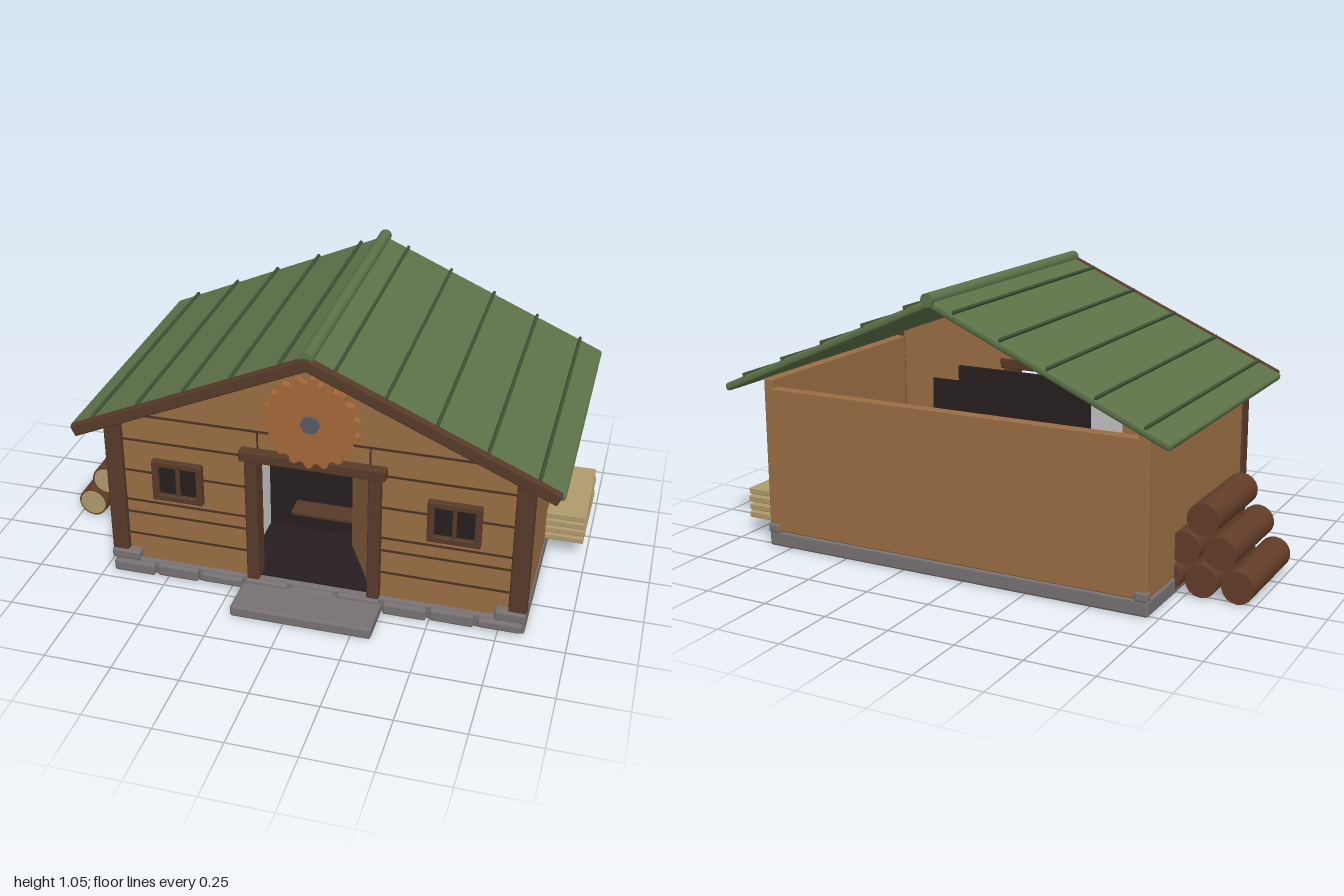
import * as THREE from 'three';
import { RoundedBoxGeometry } from 'three/addons/geometries/RoundedBoxGeometry.js';

const CX = 0.065; // middle line of the cabin
const paint = (c, side = THREE.FrontSide) => {
  const m = new THREE.MeshStandardMaterial({ side });
  m.color.set(c);
  return m;
};
const wood = paint(0x9a6d43), dark = paint(0x573a29), groove = paint(0x4a3223), black = paint(0x261e20);
const green = paint(0x5d7249), rib = paint(0x3f5235), stone = paint(0x777173), tan = paint(0xb09a6c);
const bark = paint(0x643d29), rust = paint(0xa5683a), steel = paint(0x565a66), pale = paint(0xcccccc);

export function createModel() {
  const model = new THREE.Group();
  const add = (name, geo, mat, x = 0, y = 0, z = 0, parent = model) => {
    const m = new THREE.Mesh(geo, mat);
    m.name = name;
    m.position.set(x, y, z);
    parent.add(m);
    return m;
  };
  // box given by its limits, edges slightly rounded when r > 0
  const box = (name, mat, x0, x1, y0, y1, z0, z1, r = 0.006) => {
    const s = [x1 - x0, y1 - y0, z1 - z0];
    const geo = r ? new RoundedBoxGeometry(...s, 2, Math.min(r, Math.min(...s) * 0.45)) : new THREE.BoxGeometry(...s);
    return add(name, geo, mat, (x0 + x1) / 2, (y0 + y1) / 2, (z0 + z1) / 2);
  };

  // Foundation, step and stones
  box('foundation', stone, -0.715, 0.845, 0.005, 0.065, -0.52, 0.44, 0.01);
  box('doorStep', stone, -0.2, 0.325, 0.005, 0.05, 0.44, 0.615, 0.01);
  for (let i = 0; i < 9; i++) {
    const x = -0.712 + i * 0.1735;
    box('frontStone', stone, x, x + 0.162, 0.008 + (i % 3) * 0.006, 0.056 + (i % 2) * 0.008, 0.41, 0.462, 0.01);
  }
  for (const s of [-1, 1]) {
    const x = CX + s * 0.727;
    box('cornerStone', stone, x - 0.056, x + 0.056, 0.065, 0.105, 0.4, 0.46, 0.01);
    box('backCornerStone', stone, CX + s * 0.755 - 0.025, CX + s * 0.755 + 0.025, 0.06, 0.095, -0.527, -0.49, 0.008);
  }

  // Side and back walls, corner posts
  for (const s of [-1, 1]) {
    const x = CX + s * 0.755;
    box('sideWall', wood, x - 0.02, x + 0.02, 0.065, 0.66, -0.52, 0.4);
    const p = CX + s * 0.75;
    box('cornerPost', dark, p - 0.032, p + 0.032, 0.065, 0.68, 0.385, 0.45, 0.008);
  }
  box('backWall', wood, CX - 0.765, CX + 0.765, 0.065, 0.625, -0.52, -0.48);
  box('floor', black, CX - 0.735, CX + 0.735, 0.06, 0.072, -0.48, 0.42, 0);

  // Front wall with gable and door opening
  const front = new THREE.Shape();
  [[-0.735, 0.065], [-0.205, 0.065], [-0.205, 0.57], [0.205, 0.57], [0.205, 0.065], [0.735, 0.065],
    [0.735, 0.682], [0, 0.952], [-0.735, 0.682]].forEach(([x, y], i) => (i ? front.lineTo(x, y) : front.moveTo(x, y)));
  add('frontWall', new THREE.ExtrudeGeometry(front, { depth: 0.04, bevelEnabled: false }), wood, CX, 0, 0.385);

  // Plank joints
  for (const y of [0.17, 0.265, 0.318, 0.445, 0.575]) {
    for (const s of [-1, 1]) {
      const a = CX + s * 0.24, b = CX + s * 0.72;
      box('plankJoint', groove, Math.min(a, b), Math.max(a, b), y - 0.004, y + 0.004, 0.42, 0.428, 0);
    }
  }
  box('gableJoint', groove, CX - 0.72, CX + 0.72, 0.676, 0.684, 0.42, 0.428, 0);
  for (const s of [-1, 1]) box('uprightJoint', groove, CX + s * 0.205 - 0.003, CX + s * 0.205 + 0.003, 0.61, 0.68, 0.42, 0.428, 0);

  // Door frame, open leaf and dim room behind
  for (const s of [-1, 1]) box('doorPost', dark, CX + s * 0.226 - 0.023, CX + s * 0.226 + 0.023, 0.065, 0.575, 0.38, 0.455);
  box('doorLintel', dark, CX - 0.267, CX + 0.267, 0.57, 0.612, 0.38, 0.462);
  const door = new THREE.Group();
  door.name = 'openDoor';
  door.position.set(0.268, 0.315, 0.385);
  door.rotation.y = -1.08;
  model.add(door);
  add('doorLeaf', new RoundedBoxGeometry(0.26, 0.475, 0.018, 2, 0.005), wood, -0.13, 0, 0, door);
  box('roomBack', black, -0.218, 0.348, 0.07, 0.64, 0.07, 0.085, 0);
  box('roomSide', pale, -0.218, -0.208, 0.07, 0.58, 0.085, 0.385, 0);
  box('bench', dark, -0.1, 0.175, 0.178, 0.198, 0.085, 0.17);

  // Windows
  for (const s of [-1, 1]) {
    const x = CX + s * 0.51;
    box('windowPane', black, x - 0.08, x + 0.08, 0.36, 0.495, 0.38, 0.432, 0);
    for (const t of [-1, 1]) {
      box('windowSide', dark, x + t * 0.084 - 0.012, x + t * 0.084 + 0.012, 0.345, 0.51, 0.42, 0.449);
      box('windowRail', dark, x - 0.096, x + 0.096, 0.4275 + t * 0.07 - 0.0125, 0.4275 + t * 0.07 + 0.0125, 0.42, 0.448);
    }
    box('windowMullion', dark, x - 0.008, x + 0.008, 0.365, 0.49, 0.42, 0.443);
  }

  // Roof halves: local x runs down the slope from the ridge
  const angle = Math.atan(0.44), length = 0.89 / Math.cos(angle);
  for (const s of [-1, 1]) {
    const half = new THREE.Group();
    half.name = s < 0 ? 'rightRoofHalf' : 'leftRoofHalf';
    half.position.set(CX, 1.035, 0);
    half.rotation.z = -s * angle;
    model.add(half);
    add('roofPanel', new RoundedBoxGeometry(length, 0.03, 1.11, 2, 0.012), green, s * length / 2, -0.015, -0.055, half);
    for (const o of [0.095, 0.27, 0.445, 0.62, 0.795]) {
      add('roofRib', new RoundedBoxGeometry(0.012, 0.016, 1.108, 2, 0.005), rib, s * o / Math.cos(angle), 0.003, -0.055, half);
    }
    add('gableBoard', new RoundedBoxGeometry(length - 0.015, 0.045, 0.03, 2, 0.006), dark, s * (length - 0.015) / 2, -0.02, 0.505, half);
  }
  const ridge = add('ridgeCap', new THREE.CylinderGeometry(0.024, 0.024, 1.13, 12), green, CX, 1.032, -0.055);
  ridge.rotation.x = Math.PI / 2;

  // Toothed wheel on the gable
  const gear = new THREE.Shape(), teeth = 18;
  for (let i = 0; i < teeth; i++) {
    [[0, 0.157], [0.22, 0.175], [0.5, 0.175], [0.72, 0.157]].forEach(([f, r], k) => {
      const a = ((i + f) / teeth) * Math.PI * 2;
      const x = Math.cos(a) * r, y = Math.sin(a) * r;
      if (i + k) gear.lineTo(x, y); else gear.moveTo(x, y);
    });
  }
  add('gearWheel', new THREE.ExtrudeGeometry(gear, { depth: 0.028, bevelEnabled: false }), rust, CX, 0.76, 0.435);
  const hub = add('gearHub', new THREE.CylinderGeometry(0.033, 0.033, 0.05, 20), steel, CX, 0.76, 0.448);
  hub.rotation.x = Math.PI / 2;

  // Log pile beside the right wall
  for (let row = 0; row < 3; row++) {
    for (let i = 0; i < 3 - row; i++) {
      const log = new THREE.Mesh(new THREE.CylinderGeometry(0.059, 0.059, 0.405, 18), bark);
      log.name = 'log';
      log.position.set(-0.941 + i * 0.132 + row * 0.066, 0.068 + row * 0.112, -0.0725);
      log.rotation.x = Math.PI / 2;
      model.add(log);
      add('logEnd', new THREE.CylinderGeometry(0.052, 0.052, 0.004, 18), tan, 0, 0.203, 0, log);
    }
  }

  // Stacked boards beside the left wall
  for (let i = 0; i < 4; i++) {
    const y = 0.075 + i * 0.032;
    const board = box('stackedBoard', tan, 0.82, 0.988, y, y + 0.024, -0.455, -0.085, 0.004);
    board.rotation.y = (i % 2 ? 1 : -1) * 0.012;
  }
  return model;
}
